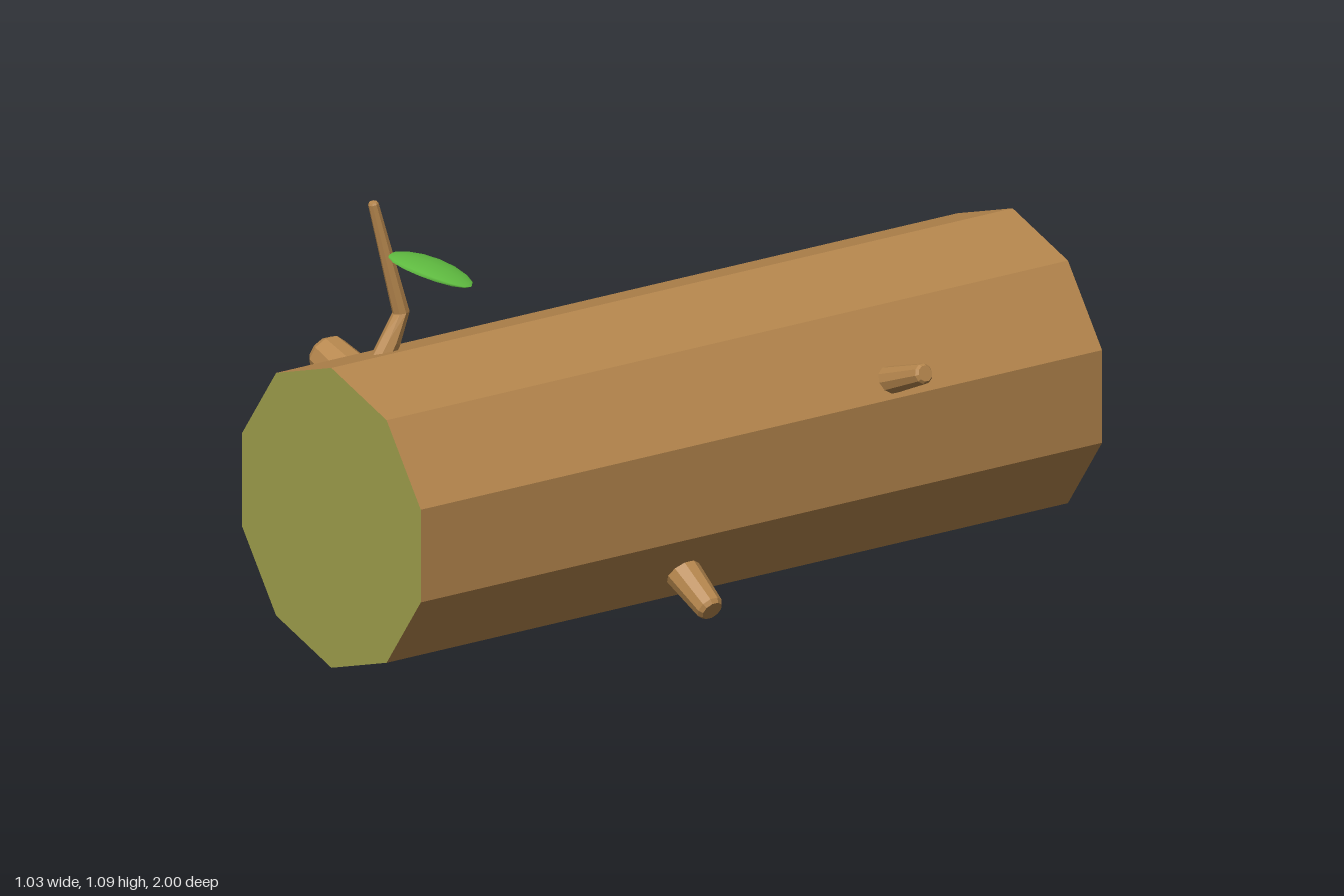
import * as THREE from 'three';

const bark = new THREE.MeshStandardMaterial({ color: 0xb5864d });
bark.name = 'bark brown';
const cutWood = new THREE.MeshStandardMaterial({ color: 0x9f9f4c });
cutWood.name = 'cut wood olive';
const leafGreen = new THREE.MeshStandardMaterial({ color: 0x5fbb40 });
leafGreen.name = 'leaf green';

// Gives every face its own normal
function faceted(geometry) {
  const g = geometry.index ? geometry.toNonIndexed() : geometry;
  g.computeVertexNormals();
  return g;
}

function addPart(group, name, geometry, material) {
  const mesh = new THREE.Mesh(geometry, material);
  mesh.name = name;
  group.add(mesh);
}

// Lofts round rings along a path, closed with a fan at the tip
function limbGeometry(path, radii, sides) {
  const points = path.map((p) => new THREE.Vector3(...p));
  const last = points.length - 1;
  const rings = points.map((p, i) => {
    const t = points[Math.min(i + 1, last)].clone().sub(points[Math.max(i - 1, 0)]).normalize();
    const u = new THREE.Vector3(0, 0, 1).addScaledVector(t, -t.z).normalize();
    const v = t.clone().cross(u);
    return Array.from({ length: sides }, (_, j) => {
      const a = (j / sides) * Math.PI * 2;
      return p.clone().addScaledVector(u, Math.cos(a) * radii[i]).addScaledVector(v, Math.sin(a) * radii[i]);
    });
  });
  const corners = [];
  for (let j = 0; j < sides; j++) {
    const k = (j + 1) % sides;
    for (let i = 0; i < last; i++) {
      const a = rings[i][j], b = rings[i][k], c = rings[i + 1][k], d = rings[i + 1][j];
      corners.push(a, b, c, a, c, d);
    }
    corners.push(rings[last][j], rings[last][k], points[last]);
  }
  return faceted(new THREE.BufferGeometry().setFromPoints(corners));
}

// Tapered branch stub with a bevelled tip
function stubGeometry(base, tip, baseRadius, tipRadius) {
  const a = new THREE.Vector3(...base), b = new THREE.Vector3(...tip);
  const shoulder = b.clone().addScaledVector(b.clone().sub(a).normalize(), -tipRadius * 0.3);
  return limbGeometry([base, shoulder.toArray(), tip], [baseRadius, tipRadius, tipRadius * 0.78], 10);
}

export function createModel() {
  const model = new THREE.Group();
  model.name = 'log';

  // Ten-sided trunk with cut ends
  const trunk = new THREE.CylinderGeometry(0.373, 0.373, 2, 10);
  trunk.rotateX(Math.PI / 2).translate(0.042, 0.374, 0);
  addPart(model, 'trunk', faceted(trunk), [bark, cutWood, cutWood]);

  // Cut branch stubs: name, base, tip, base radius, tip radius
  const stubs = [
    ['upperRightStub', [-0.25, 0.486, 0.62], [-0.502, 0.567, 0.62], 0.071, 0.053],
    ['upperLeftStub', [0.34, 0.515, -0.4], [0.507, 0.58, -0.4], 0.036, 0.025],
    ['lowerLeftStub', [0.28, 0.167, 0.17], [0.431, 0.082, 0.17], 0.047, 0.034],
    ['lowerRightStub', [-0.16, 0.157, -0.3], [-0.298, 0.08, -0.3], 0.034, 0.022],
  ];
  for (const [name, base, tip, r0, r1] of stubs) {
    addPart(model, name, stubGeometry(base, tip, r0, r1), bark);
  }

  // Thin twig with a kink near its foot
  const twig = limbGeometry(
    [[-0.036, 0.7, 0.8], [-0.039, 0.745, 0.768], [-0.044, 0.81, 0.732], [-0.067, 1.085, 0.796], [-0.067, 1.09, 0.797]],
    [0.027, 0.026, 0.021, 0.013, 0.01], 8);
  addPart(model, 'twig', twig, bark);

  // Leaf: flattened sphere, rounded outline, drooping towards the tip
  const leaf = new THREE.SphereGeometry(1, 12, 8);
  leaf.rotateZ(Math.PI / 2);
  const pos = leaf.attributes.position;
  for (let i = 0; i < pos.count; i++) {
    const u = pos.getX(i), w = pos.getZ(i), along = (u + 1) / 2;
    pos.setXYZ(i, u * 0.107,
      pos.getY(i) * 0.007 - 0.052 * along * along - 0.008 * w * w, w * 0.063);
  }
  leaf.rotateY(0.5).translate(0.046, 0.96, 0.712);
  leaf.computeVertexNormals();
  addPart(model, 'leaf', leaf, leafGreen);

  return model;
}
